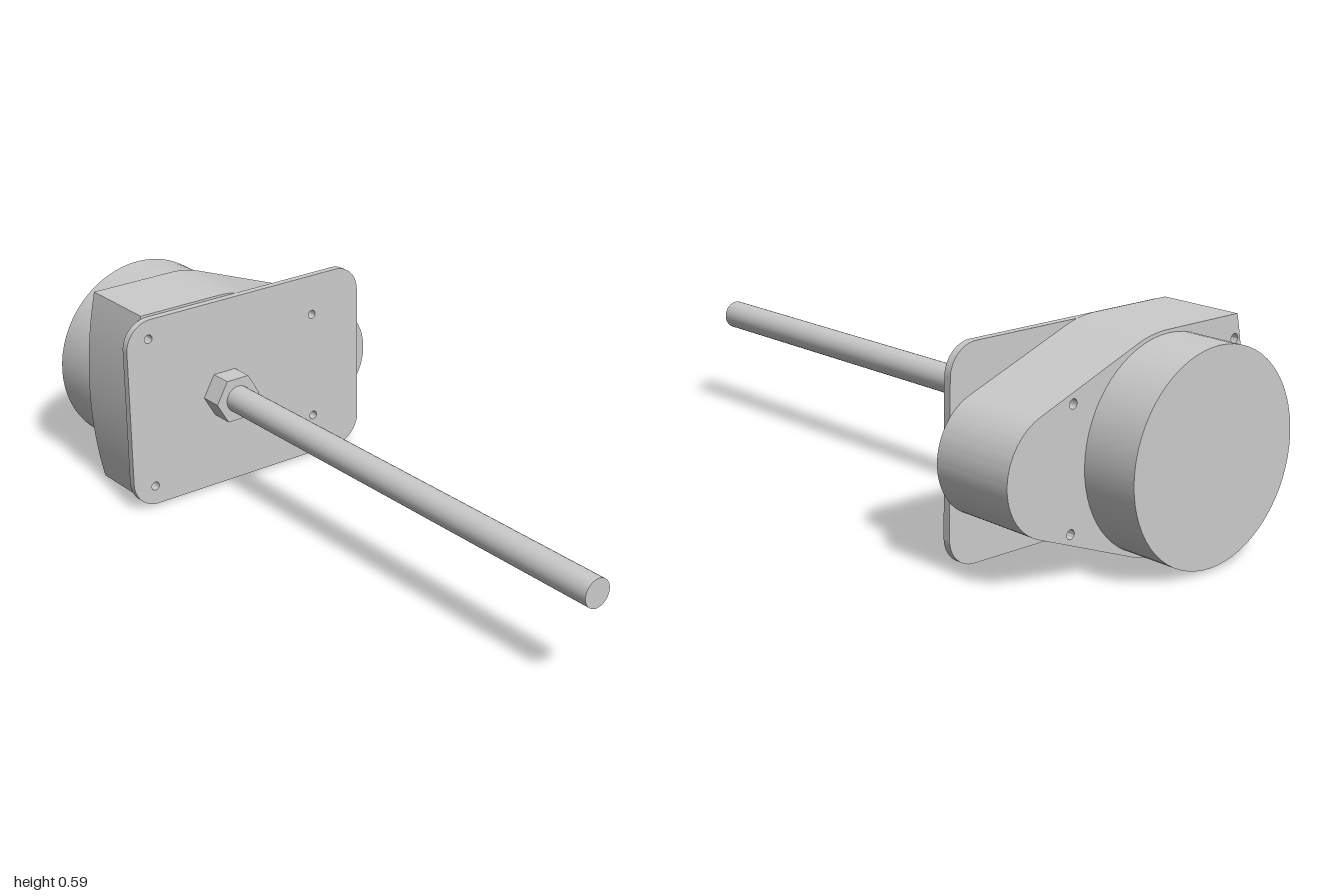
import * as THREE from 'three';
import { toCreasedNormals } from 'three/addons/utils/BufferGeometryUtils.js';

const material = new THREE.MeshStandardMaterial({ color: 0xcccccc });
const MID_Y = 0.3;
const AXIS_X = -0.105;

function addMesh(group, name, geometry) {
  const mesh = new THREE.Mesh(geometry, material);
  mesh.name = name;
  group.add(mesh);
  return mesh;
}

// Four screw holes that run through plate and housing
function addScrewHoles(shape) {
  for (const [x, dy] of [[-0.362, 0.232], [0.219, 0.166]]) {
    for (const s of [-1, 1]) {
      const hole = new THREE.Path();
      hole.absarc(x, MID_Y + s * dy, 0.013, 0, Math.PI * 2, true);
      shape.holes.push(hole);
    }
  }
}

function extrude(shape, zBack, zFront) {
  addScrewHoles(shape);
  const geometry = new THREE.ExtrudeGeometry(shape, {
    depth: zFront - zBack, bevelEnabled: false, curveSegments: 24,
  });
  geometry.translate(0, 0, zBack);
  return toCreasedNormals(geometry, 0.5);
}

// Cylinder (or prism) lying along z
function rod(x, radius, zBack, zFront, sides) {
  const geometry = new THREE.CylinderGeometry(radius, radius, zFront - zBack, sides);
  geometry.rotateX(Math.PI / 2);
  geometry.translate(x, MID_Y, (zBack + zFront) / 2);
  return geometry;
}

function plateShape() {
  const [x0, x1, y0, y1, r] = [-0.435, 0.392, 0.01, 0.59, 0.083];
  const q = Math.PI / 2;
  const shape = new THREE.Shape();
  shape.absarc(x1 - r, y0 + r, r, -q, 0);
  shape.absarc(x1 - r, y1 - r, r, 0, q);
  shape.absarc(x0 + r, y1 - r, r, q, 2 * q);
  shape.absarc(x0 + r, y0 + r, r, 2 * q, 3 * q);
  shape.closePath();
  return shape;
}

// Large arc tapering along tangents to a small nose, with a bowed far side
function housingShape() {
  const bigR = 0.297, noseR = 0.165, noseX = 0.269, bowR = 1.26;
  const q = Math.PI / 2;
  const tangent = Math.acos((bigR - noseR) / (noseX - AXIS_X));
  const bow = Math.asin(bigR / bowR);
  const shape = new THREE.Shape();
  shape.absarc(AXIS_X, MID_Y, bigR, -q, -tangent);
  shape.absarc(noseX, MID_Y, noseR, -tangent, tangent);
  shape.absarc(AXIS_X, MID_Y, bigR, tangent, q);
  shape.absarc(bowR - 0.405, MID_Y, bowR, Math.PI - bow, Math.PI + bow);
  shape.closePath();
  return shape;
}

export function createModel() {
  const group = new THREE.Group();
  group.name = 'gearedMotor';

  addMesh(group, 'mountingPlate', extrude(plateShape(), -0.585, -0.563));
  addMesh(group, 'gearHousing', extrude(housingShape(), -0.835, -0.585));
  addMesh(group, 'motorCan', rod(-0.112, 0.288, -1, -0.835, 64));

  // Hex collar with corners pointing sideways
  const collar = rod(0, 0.075, -0.565, -0.495, 6);
  collar.translate(0, -MID_Y, 0).rotateZ(Math.PI / 2).translate(AXIS_X, MID_Y, 0);
  addMesh(group, 'hexCollar', toCreasedNormals(collar, 0.5));

  addMesh(group, 'shaft', rod(AXIS_X, 0.041, -0.563, 1, 32));
  return group;
}
